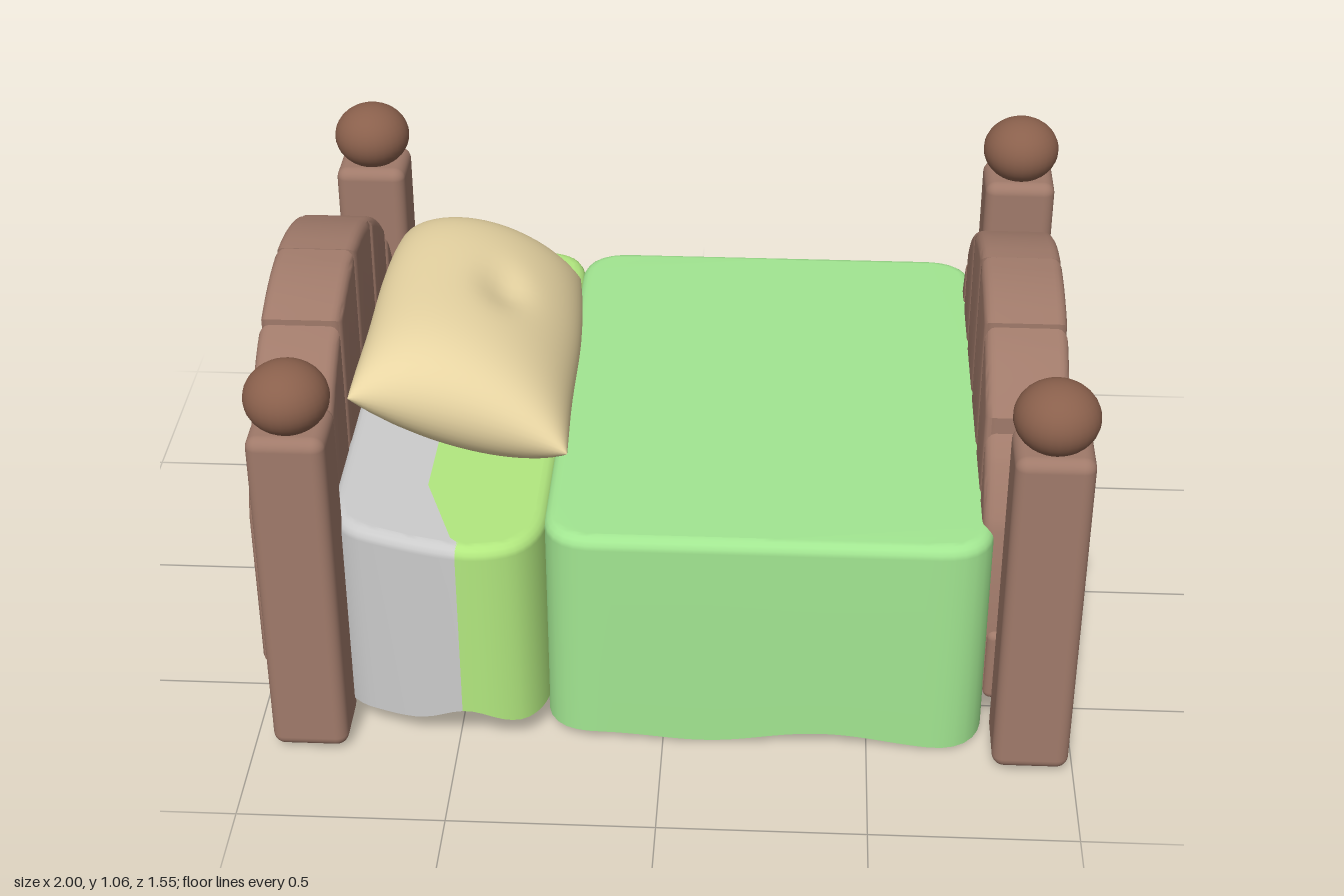
import * as THREE from 'three';
import { mergeVertices, mergeGeometries, toCreasedNormals } from 'three/addons/utils/BufferGeometryUtils.js';
import { RoundedBoxGeometry } from 'three/addons/geometries/RoundedBoxGeometry.js';

const mat = (color, side = THREE.FrontSide) => new THREE.MeshStandardMaterial({ color, roughness: 0.8, side });
const WOOD = mat(0xa07a6a), KNOB = mat(0x8a604c);
const GREEN = mat(0xa2e691, THREE.DoubleSide), LIME = mat(0xb2e87f, THREE.DoubleSide);
const SHEET = mat(0xcccccc, THREE.DoubleSide), TAN = mat(0xe8d5a3);

function add(parent, name, geometry, material, x = 0, y = 0, z = 0) {
  const mesh = new THREE.Mesh(geometry, material);
  mesh.name = name;
  mesh.position.set(x, y, z);
  parent.add(mesh);
  return mesh;
}

// Cloth draped over a box: walls along an outline (x, z), a rounded rim and a flat top.
// An open outline is closed across the top through the seam points.
function drape(outline, top, rim, hem, seam = null) {
  const n = outline.length, closed = !seam;
  const area = THREE.ShapeUtils.area(outline.concat(seam || []));
  const inward = outline.map((p, i) => {
    const a = outline[closed ? (i + n - 1) % n : Math.max(i - 1, 0)];
    const b = outline[closed ? (i + 1) % n : Math.min(i + 1, n - 1)];
    const t = b.clone().sub(a).normalize().multiplyScalar(Math.sign(area));
    return new THREE.Vector2(-t.y, t.x);
  });
  const rings = 6, pos = [], index = [];
  for (let r = 0; r < rings; r++) {
    const a = (Math.max(r - 1, 0) / (rings - 2)) * Math.PI / 2;
    const inset = rim * (1 - Math.cos(a)), y = top - rim * (1 - Math.sin(a));
    outline.forEach((p, i) => pos.push(p.x + inward[i].x * inset, r ? y : hem(p.x, p.y), p.y + inward[i].y * inset));
  }
  const tri = (a, b, c) => (area > 0 ? index.push(a, c, b) : index.push(a, b, c));
  for (let r = 0; r < rings - 1; r++) {
    for (let i = 0; i < (closed ? n : n - 1); i++) {
      const a = r * n + i, b = r * n + (i + 1) % n;
      tri(a, b, a + n);
      tri(b, b + n, a + n);
    }
  }
  const last = (rings - 1) * n, cap = [];
  for (let i = 0; i < n; i++) cap.push(new THREE.Vector2(pos[(last + i) * 3], pos[(last + i) * 3 + 2]));
  (seam || []).forEach(p => { cap.push(p); pos.push(p.x, top, p.y); });
  for (const [a, b, c] of THREE.ShapeUtils.triangulateShape(cap, [])) {
    const turn = (cap[b].x - cap[a].x) * (cap[c].y - cap[a].y) - (cap[b].y - cap[a].y) * (cap[c].x - cap[a].x);
    if (turn > 0) index.push(last + a, last + c, last + b);
    else index.push(last + a, last + b, last + c);
  }
  const g = new THREE.BufferGeometry();
  g.setAttribute('position', new THREE.Float32BufferAttribute(pos, 3));
  g.setIndex(index);
  g.computeVertexNormals();
  return g;
}

// Evenly spaced points so hems can wave
function resample(path, count, closed) {
  const pts = path.getSpacedPoints(count);
  if (closed) pts.pop();
  return pts;
}

// Arched row of thick rounded planks
const arch = z => 1 - 0.85 * z * z - 4 * z ** 6;
function plankBoard(name, bottom) {
  const board = new THREE.Group();
  board.name = name;
  const cuts = [-0.59, -0.475, -0.27, -0.02, 0.23, 0.44, 0.585], bevel = 0.025;
  for (let i = 0; i < cuts.length - 1; i++) {
    const a = cuts[i] + bevel, b = cuts[i + 1] - bevel;
    const s = new THREE.Shape();
    s.moveTo(-a, bottom + bevel);
    for (let k = 0; k <= 8; k++) {
      const z = a + (b - a) * k / 8;
      s.lineTo(-z, arch(z) - bevel);
    }
    s.lineTo(-b, bottom + bevel);
    const g = new THREE.ExtrudeGeometry(s, {
      depth: 0.15, bevelEnabled: true, bevelSize: bevel, bevelThickness: bevel, bevelSegments: 4,
    });
    g.translate(0, 0, -0.075).rotateY(Math.PI / 2);
    add(board, 'plank', toCreasedNormals(g, 0.7), WOOD);
  }
  return board;
}

function pillowGeometry() {
  const N = 36;
  const dome = side => {
    const g = new THREE.PlaneGeometry(2, 2, N, N), p = g.attributes.position;
    for (let i = 0; i < p.count; i++) {
      const u = Math.sin(p.getX(i) * Math.PI / 2), v = Math.sin(p.getY(i) * Math.PI / 2);
      // rounded corners at the back, pulled-out corners at the front
      const k = THREE.MathUtils.lerp(0.4, -0.12, THREE.MathUtils.smoothstep(v, -0.4, 0.9));
      const x = u * 0.255 * Math.sqrt(1 - k * v * v / 2);
      const z = -0.02 + v * 0.44 * Math.sqrt(1 - k * u * u / 2);
      let h = 0.165 * Math.sqrt((1 - u ** 2) * (1 - v ** 4));
      if (side > 0) h -= 0.03 * Math.exp(-((x - 0.07) ** 2 / 0.003 + (z + 0.02) ** 2 / 0.008));
      const y = 0.75 - 0.27 * x + side * h;
      p.setXYZ(i, x - 0.505, Math.max(y, 0.592), z);
    }
    // the grid faces down after mapping, so flip the upper half
    if (side > 0) {
      const idx = g.index.array;
      for (let i = 0; i < idx.length; i += 3) [idx[i], idx[i + 1]] = [idx[i + 1], idx[i]];
    }
    g.deleteAttribute('uv');
    g.deleteAttribute('normal');
    return g;
  };
  const g = mergeVertices(mergeGeometries([dome(1), dome(-1)]), 1e-4);
  g.computeVertexNormals();
  return g;
}

export function createModel() {
  const bed = new THREE.Group();
  bed.name = 'bed';

  // Corner posts with round knobs
  for (const [end, x] of [['head', -0.86], ['foot', 0.895]]) {
    for (const z of [-0.675, 0.675]) {
      const post = new THREE.Group();
      post.name = end + 'Post';
      post.position.set(x, 0, z);
      add(post, 'postShaft', new RoundedBoxGeometry(0.185, 0.89, 0.175, 4, 0.03), WOOD, 0, 0.46, 0);
      add(post, 'knob', new THREE.SphereGeometry(0.1, 28, 20), KNOB, 0, 0.975, 0).scale.y = 0.86;
      bed.add(post);
    }
  }

  // Headboard, footboard and foot rail
  const headboard = plankBoard('headboard', 0.14);
  headboard.position.x = -0.9;
  headboard.rotation.y = Math.PI;
  const footboard = plankBoard('footboard', 0.13);
  footboard.position.x = 0.855;
  bed.add(headboard, footboard);
  add(bed, 'footRail', new RoundedBoxGeometry(0.185, 0.2, 1.2, 3, 0.02), WOOD, 0.875, 0.2, 0);

  // Blanket with a wavy hem
  const [x0, x1, z0, z1, r] = [-0.29, 0.785, -0.735, 0.68, 0.13];
  const cover = new THREE.Shape();
  cover.moveTo(x0 + r, z0);
  cover.lineTo(x1 - r, z0);
  cover.quadraticCurveTo(x1, z0, x1, z0 + r);
  cover.lineTo(x1, z1 - r);
  cover.quadraticCurveTo(x1, z1, x1 - r, z1);
  cover.lineTo(x0 + r, z1);
  cover.quadraticCurveTo(x0, z1, x0, z1 - r);
  cover.lineTo(x0, z0 + r);
  cover.quadraticCurveTo(x0, z0, x0 + r, z0);
  const blanketHem = (x, z) => {
    const front = THREE.MathUtils.smoothstep(z, -0.6, 0.6);
    return 0.003 + front * (0.022 + 0.017 * Math.sin((x - 0.23) * 10) * THREE.MathUtils.smoothstep(x, -0.4, 0.3));
  };
  add(bed, 'blanket', drape(resample(cover, 160, true), 0.6, 0.03, blanketHem), GREEN);

  // Under-sheet in two colours, split along a slanted seam
  const sheetHem = (x, z) => 0.07 + (z > 0.5 ? 0.05 * Math.exp(-(((x + 0.47) / 0.09) ** 2)) : 0);
  const seam = [[-0.42, -0.69], [-0.57, -0.48], [-0.58, 0.46], [-0.5, 0.68]].map(p => new THREE.Vector2(...p));
  const turned = new THREE.Path();
  turned.moveTo(-0.485, 0.73);
  turned.quadraticCurveTo(-0.4, 0.74, -0.34, 0.7);
  turned.quadraticCurveTo(-0.28, 0.65, -0.28, 0.54);
  turned.lineTo(-0.28, -0.6);
  turned.quadraticCurveTo(-0.28, -0.74, -0.4, -0.74);
  turned.lineTo(-0.43, -0.74);
  add(bed, 'turnedSheet', drape(resample(turned, 70, false), 0.598, 0.03, sheetHem, seam), LIME);

  const plain = new THREE.Path();
  plain.moveTo(-0.43, -0.74);
  plain.lineTo(-0.68, -0.74);
  plain.quadraticCurveTo(-0.805, -0.735, -0.805, -0.6);
  plain.lineTo(-0.805, 0.52);
  plain.quadraticCurveTo(-0.8, 0.64, -0.7, 0.67);
  plain.quadraticCurveTo(-0.58, 0.715, -0.485, 0.73);
  add(bed, 'sheet', drape(resample(plain, 80, false), 0.598, 0.03, sheetHem, [...seam].reverse()), SHEET);

  // Pillow
  add(bed, 'pillow', pillowGeometry(), TAN);
  return bed;
}
